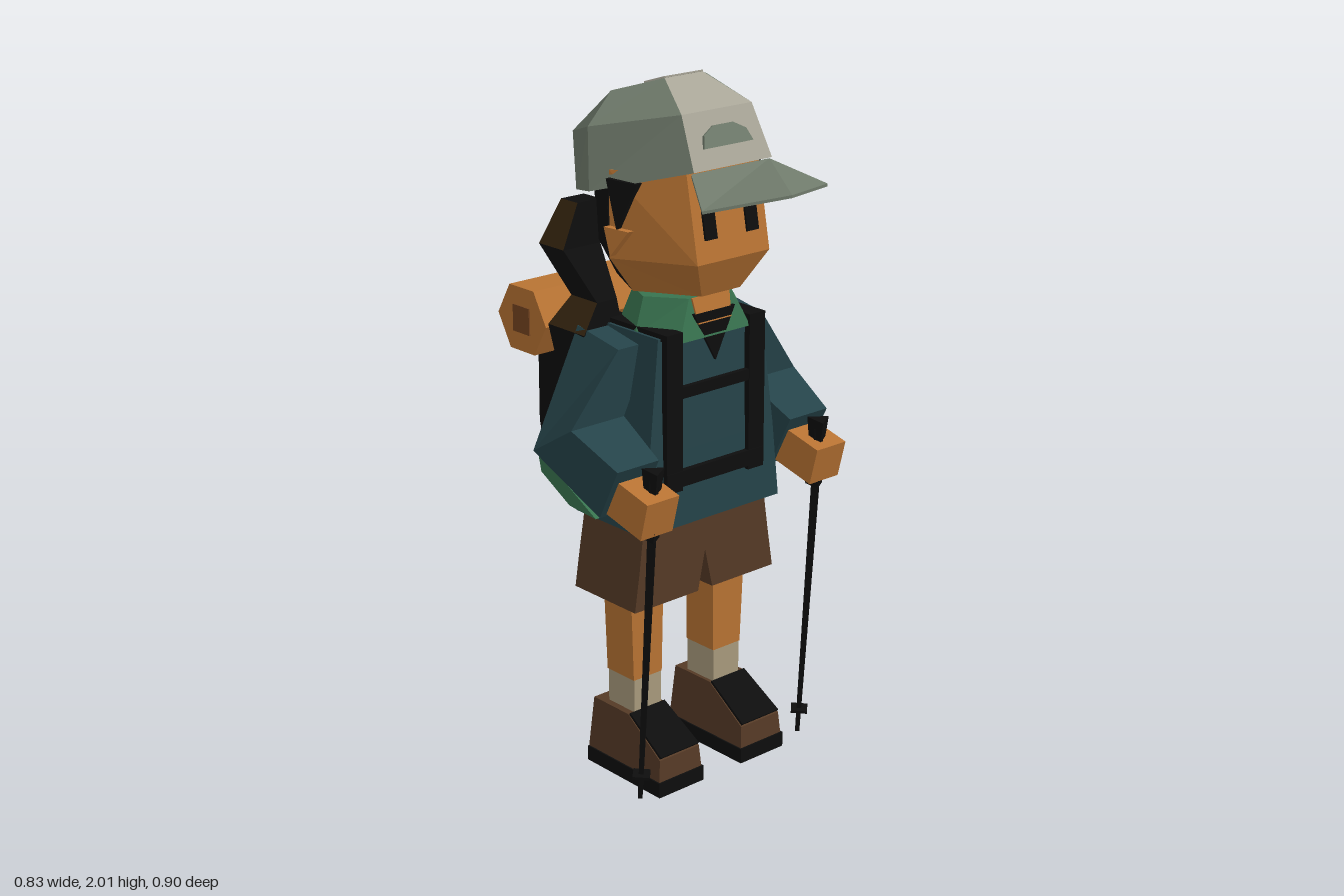
import * as THREE from 'three';

const mat = (name, color) => Object.assign(new THREE.MeshStandardMaterial({ color }), { name });

export function createModel() {
  const skin = mat('skin', 0xb87333), teal = mat('teal jacket', 0x254349), brown = mat('brown cloth', 0x553a26),
    sage = mat('sage cap', 0x6f7a6b), cream = mat('cream panel', 0xa8a597), sock = mat('sock beige', 0xa89a7c),
    green = mat('green lining', 0x38734f), black = mat('black', 0x0d0d0d), umber = mat('dark umber', 0x35240f),
    rust = mat('rust brown', 0x744420);
  const model = new THREE.Group();
  model.name = 'hiker';

  const add = (name, geo, material, pos = [0, 0, 0], rot = [0, 0, 0]) => {
    const flat = geo.index ? geo.toNonIndexed() : geo;
    flat.computeVertexNormals();
    const m = new THREE.Mesh(flat, material);
    m.name = name;
    m.position.set(...pos);
    m.rotation.set(...rot);
    model.add(m);
    return m;
  };
  const box = (name, w, h, d, material, pos, rot) => add(name, new THREE.BoxGeometry(w, h, d), material, pos, rot);

  // Faceted skin over matching rings of [x, y, z]; pick(segment, side) chooses a material index.
  // Segment -1 is the first cap, segment 99 the last. Winding is turned outward automatically.
  const loft = (name, rings, mats, pick = () => 0) => {
    const n = rings[0].length, tris = [];
    const tri = (a, b, c, m) => tris.push([[a, b, c], m]);
    for (let k = 0; k < rings.length - 1; k++) for (let i = 0; i < n; i++) {
      const j = (i + 1) % n, A = rings[k], B = rings[k + 1], m = pick(k, i);
      tri(A[i], A[j], B[j], m);
      tri(A[i], B[j], B[i], m);
    }
    const last = rings[rings.length - 1];
    for (let i = 1; i < n - 1; i++) {
      tri(rings[0][0], rings[0][i + 1], rings[0][i], pick(-1, 0));
      tri(last[0], last[i], last[i + 1], pick(99, 0));
    }
    const o = new THREE.Vector3(...rings[0][0]);
    const v = p => new THREE.Vector3(...p).sub(o);
    const volume = tris.reduce((s, [[a, b, c]]) => s + v(a).dot(v(b).cross(v(c))), 0);
    const geo = new THREE.BufferGeometry();
    const pos = tris.flatMap(([[a, b, c]]) => (volume < 0 ? [a, c, b] : [a, b, c]).flat());
    geo.setAttribute('position', new THREE.Float32BufferAttribute(pos, 3));
    tris.forEach(([, m], i) => geo.addGroup(i * 3, 3, m));
    return add(name, geo, [].concat(mats));
  };
  // Rectangle ring at height y, and a prism made by shifting a ring
  const rect = (y, x0, x1, z0, z1) => [[x0, y, z1], [x1, y, z1], [x1, y, z0], [x0, y, z0]];
  const prism = (name, pts, [dx, dy, dz], m) =>
    loft(name, [pts, pts.map(([x, y, z]) => [x + dx, y + dy, z + dz])], m);

  // Head: skin in front, hair behind
  const half = (y, xf, zf, xs, zs = 0.02) => [[xs, y, zs], [xf, y, zf], [-xf, y, zf], [-xs, y, zs]];
  loft('face', [half(1.435, 0.07, 0.185, 0.17), half(1.54, 0.13, 0.235, 0.25), half(1.78, 0.13, 0.19, 0.25)], skin);
  loft('hair', [half(1.435, 0.09, -0.14, 0.17), half(1.54, 0.13, -0.175, 0.252),
    half(1.68, 0.13, -0.185, 0.255), half(1.75, 0.13, -0.18, 0.25)], black);
  for (const s of [1, -1]) {
    box('eye', 0.042, 0.1, 0.008, black, [s * 0.075, 1.65, 0.217], [-0.185, 0, 0]);
    const side = (pts) => pts.map(([z, y]) => [s * (0.24 - (z - 0.02) * 0.558), y, z]);
    prism('sideburn', side([[0.095, 1.75], [0.02, 1.76], [0.045, 1.62]]), [s * 0.026, 0, 0.006], black);
    prism('ear', side([[0.08, 1.62], [0.02, 1.63], [0.035, 1.55]]), [s * 0.03, 0, 0], skin);
  }

  // Ponytail over the right shoulder
  loft('ponytail', [
    rect(1.65, -0.21, -0.13, -0.23, -0.16), rect(1.53, -0.27, -0.14, -0.255, -0.15),
    rect(1.39, -0.22, -0.15, -0.18, -0.07), rect(1.31, -0.275, -0.14, -0.215, -0.06),
    rect(1.21, -0.24, -0.16, -0.23, -0.17)], [black, umber], (k, i) => (k % 2 === 0 && i === 3 ? 1 : 0));

  // Cap: tilted hexagonal dome with a cream front panel
  const hex = (xf, yf, zf, xs, ys, zs, xb, yb, zb) =>
    [[xf, yf, zf], [xs, ys, zs], [xb, yb, zb], [-xb, yb, zb], [-xs, ys, zs], [-xf, yf, zf]];
  loft('cap', [
    hex(0.14, 1.79, 0.23, 0.285, 1.72, -0.02, 0.14, 1.66, -0.25),
    hex(0.125, 1.93, 0.165, 0.262, 1.885, -0.05, 0.135, 1.82, -0.268),
    hex(0.068, 2.0, 0.035, 0.172, 1.967, -0.06, 0.07, 1.92, -0.195)],
  [sage, cream, black], (k, i) => (k === -1 ? 2 : k < 99 && i === 5 ? 1 : 0));
  const crown = [[0.068, 0.035], [0.1, -0.01], [0.065, -0.048], [0, -0.058], [-0.065, -0.048], [-0.1, -0.01], [-0.068, 0.035]];
  prism('crown patch', crown.map(([x, z]) => [x, 1.988 + z * 0.348, z]), [0, 0.005, 0], cream);
  const badge = [[-0.088, 1.84], [-0.075, 1.872], [-0.035, 1.892], [0.035, 1.892], [0.075, 1.872], [0.088, 1.84], [0.04, 1.847], [-0.04, 1.847]];
  prism('front patch', badge.map(([x, y]) => [x, y, 0.23 - (y - 1.79) * 0.464]), [0, 0.002, 0.006], sage);
  const brim = [[0.14, 1.785, 0.22], [0.225, 1.727, 0.355], [0, 1.75, 0.45], [-0.225, 1.727, 0.355], [-0.14, 1.785, 0.22]];
  loft('brim', [brim.map(([x, y, z]) => [x, y - 0.008, z]), brim], [sage, teal], k => (k === -1 ? 1 : 0));

  // Neck, collar and open throat
  loft('neck', [rect(1.3, -0.07, 0.07, -0.06, 0.1), rect(1.46, -0.07, 0.07, -0.06, 0.1)], skin);
  loft('collar', [hex(0.13, 1.31, 0.165, 0.19, 1.32, 0.05, 0.14, 1.33, -0.07),
    hex(0.075, 1.42, 0.14, 0.15, 1.42, 0.04, 0.11, 1.42, -0.05)], green);
  prism('throat', [[-0.068, 1.42, 0.14], [0.068, 1.42, 0.14], [0.06, 1.35, 0.157], [-0.06, 1.35, 0.157]], [0, 0, 0.006], skin);
  prism('undershirt', [[-0.075, 1.38, 0.152], [0, 1.36, 0.154], [0.075, 1.38, 0.152], [0, 1.24, 0.158]], [0, 0, 0.009], black);

  // Jacket body
  loft('jacket', [rect(0.78, -0.255, 0.255, -0.13, 0.155), rect(1.0, -0.23, 0.23, -0.13, 0.155),
    rect(1.33, -0.19, 0.19, -0.1, 0.145)], teal);

  for (const s of [1, -1]) {
    // Bent sleeve with a green underside
    const slice = (xi, xo, [yf, zf], [yb, zb]) =>
      [[s * xi, yf, zf], [s * xo, yf, zf], [s * xo, yb, zb], [s * xi, yb, zb]];
    loft('sleeve', [slice(0.15, 0.265, [1.3, 0.07], [1.33, -0.1]),
      slice(0.23, 0.415, [1.1, 0.05], [1.0, -0.115]),
      slice(0.245, 0.39, [1.02, 0.21], [0.87, 0.135])], teal);
    prism('sleeve lining', [[-0.115, 1.0], [-0.1, 0.94], [0.02, 0.875], [0.13, 0.868]]
      .map(([z, y]) => [s * 0.25, y, z]), [s * 0.15, 0, 0], green);

    // Hand with trekking pole
    box('hand', 0.112, 0.112, 0.15, skin, [s * 0.314, 0.915, 0.22], [0.25, 0, 0]);
    const lean = [0.066, 0, 0];
    add('poleShaft', new THREE.CylinderGeometry(0.018, 0.009, 0.97, 4), black, [s * 0.308, 0.51, 0.231], lean);
    for (const [y, z, h] of [[0.992, 0.262, 0.06], [0.845, 0.252, 0.05]])
      add('poleGrip', new THREE.CylinderGeometry(0.036, 0.028, h, 3, 1, false, Math.PI / 2), black, [s * 0.308, y, z], lean);
    add('poleBasket', new THREE.CylinderGeometry(0.034, 0.034, 0.008, 4), black, [s * 0.308, 0.1, 0.205], lean);

    // Shorts leg, bare leg and sock
    loft('shortsLeg', [rect(0.55, s * 0.027, s * 0.262, -0.13, 0.128), rect(0.67, 0.0, s * 0.243, -0.13, 0.127),
      rect(0.8, 0, s * 0.225, -0.125, 0.125)], brown);
    loft('leg', [rect(0.3, s * 0.1, s * 0.205, -0.06, 0.055), rect(0.6, s * 0.095, s * 0.217, -0.06, 0.058)], skin);
    box('sock', 0.1, 0.13, 0.112, sock, [s * 0.152, 0.24, -0.002]);

    // Boot: wedge upper, black laces, rimmed sole
    const cx = s * 0.157;
    const bootSide = [[0.2, 0.04, 0.08], [0.195, 0.11, 0.074], [0.05, 0.2, 0.066], [-0.1, 0.2, 0.066], [-0.11, 0.04, 0.08]];
    loft('boot', [-1, 1].map(e => bootSide.map(([z, y, w]) => [cx + e * w, y, z])), brown);
    prism('bootLaces', [[cx - 0.072, 0.114, 0.193], [cx + 0.072, 0.114, 0.193], [cx + 0.065, 0.2, 0.053], [cx - 0.065, 0.2, 0.053]],
      [0, 0.006, 0.005], black);
    const rectPath = (P, w, a, b) => {
      const p = new P();
      p.setFromPoints([[-w, a], [w, a], [w, b], [-w, b], [-w, a]].map(q => new THREE.Vector2(...q)));
      return p;
    };
    const sole = rectPath(THREE.Shape, 0.084, -0.205, 0.11);
    sole.holes.push(rectPath(THREE.Path, 0.05, -0.16, 0.07));
    add('bootSole', new THREE.ExtrudeGeometry(sole, { depth: 0.045, bevelEnabled: false }).rotateX(-Math.PI / 2), black, [cx, 0, 0]);
    box('bootInsole', 0.1, 0.035, 0.23, brown, [cx, 0.026, 0.045]);

    // Pack straps down the chest and over the shoulder
    box('chestStrap', 0.058, 0.45, 0.02, black, [s * 0.152, 1.115, 0.16]);
    box('shoulderStrap', 0.058, 0.02, 0.3, black, [s * 0.152, 1.333, 0.02]);
    box('backStrap', 0.058, 0.18, 0.03, black, [s * 0.152, 1.25, -0.13]);
  }
  box('sternumStrap', 0.27, 0.032, 0.016, black, [0, 1.17, 0.16]);
  box('waistStrap', 0.36, 0.046, 0.02, black, [0, 0.925, 0.162]);

  // Backpack and rolled sleeping mat
  loft('backpack', [rect(0.81, -0.19, 0.19, -0.335, -0.12), rect(0.98, -0.205, 0.205, -0.35, -0.12),
    rect(1.21, -0.195, 0.195, -0.362, -0.12), rect(1.25, -0.17, 0.17, -0.32, -0.11)], black);
  add('sleepingMat', new THREE.CylinderGeometry(0.107, 0.107, 0.53, 6).rotateZ(Math.PI / 2), skin, [0, 1.29, -0.345]);
  for (const s of [1, -1]) box('matCore', 0.008, 0.078, 0.072, rust, [s * 0.265, 1.29, -0.345]);

  return model;
}
